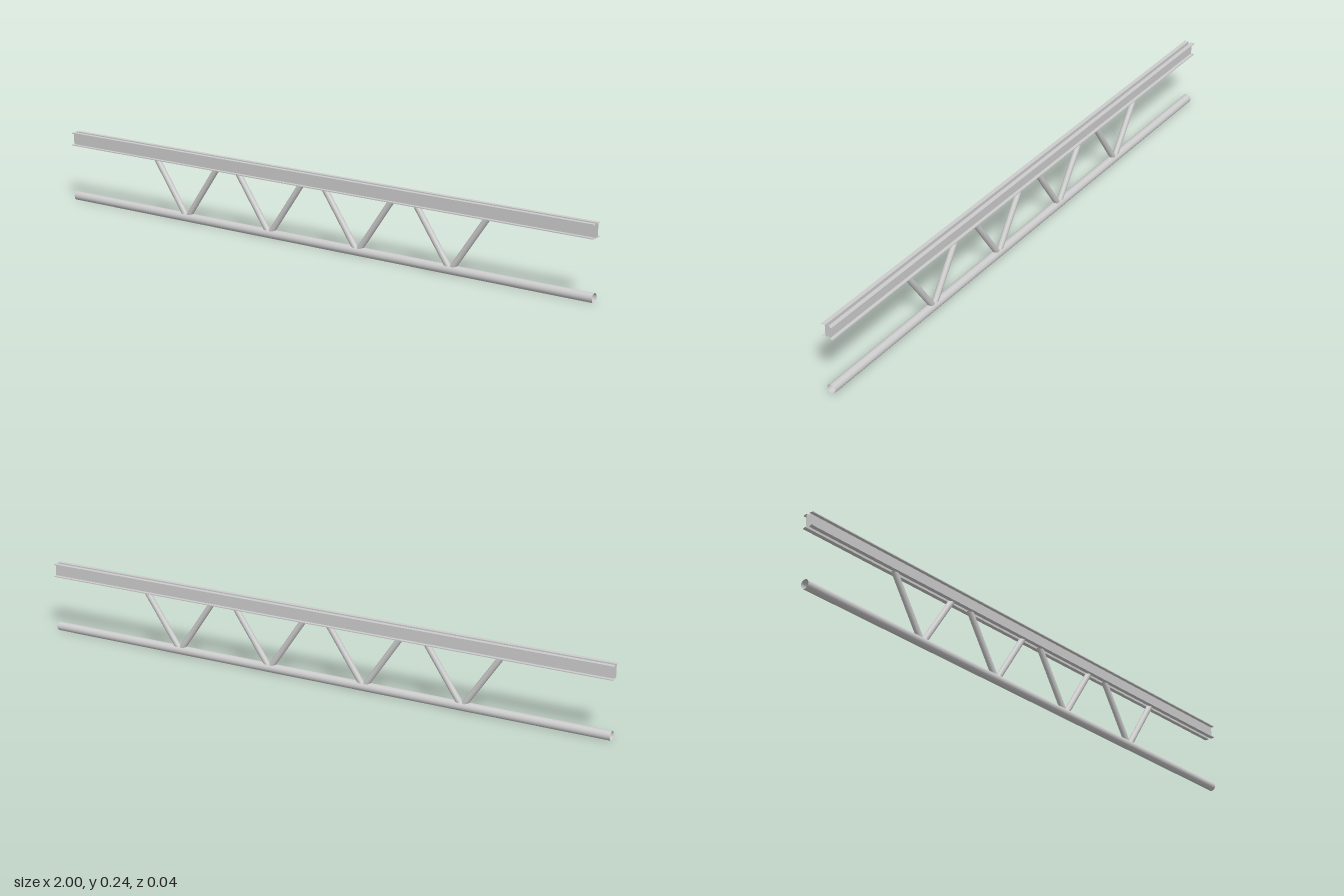
import * as THREE from 'three';

const LENGTH = 2;
const TUBE_R = 0.015, STRUT_R = 0.01;
const BEAM_BOTTOM = 0.197, BEAM_TOP = 0.242;
const WEB_Z = 0.005, FLANGE_Z = 0.019, SHEET = 0.003;

const steel = new THREE.MeshStandardMaterial({ color: 0xcccccc });
const openSteel = new THREE.MeshStandardMaterial({ color: 0xcccccc, side: THREE.DoubleSide });

// Sweeps a closed [z, y] profile along x, leaving the ends open
function sweepAlongX(profile, length) {
  const h = length / 2, positions = [];
  profile.forEach(([z0, y0], i) => {
    const [z1, y1] = profile[(i + 1) % profile.length];
    positions.push(-h, y0, z0, -h, y1, z1, h, y1, z1);
    positions.push(-h, y0, z0, h, y1, z1, h, y0, z0);
  });
  const geometry = new THREE.BufferGeometry();
  geometry.setAttribute('position', new THREE.Float32BufferAttribute(positions, 3));
  geometry.computeVertexNormals();
  return geometry;
}

// Round diagonal bar from foot to head, with its head cut level
function strut(footX, footY, headX, headY) {
  const dx = headX - footX, dy = headY - footY;
  const length = Math.hypot(dx, dy), angle = -Math.atan2(dx, dy);
  const geometry = new THREE.CylinderGeometry(STRUT_R, STRUT_R, length, 20);
  const p = geometry.attributes.position;
  for (let i = 0; i < p.count; i++) {
    if (p.getY(i) > 0) p.setY(i, p.getY(i) - p.getX(i) * Math.tan(angle));
  }
  const mesh = new THREE.Mesh(geometry, steel);
  mesh.rotation.z = angle;
  mesh.position.set((footX + headX) / 2, (footY + headY) / 2, 0);
  return mesh;
}

export function createModel() {
  const truss = new THREE.Group();
  truss.name = 'truss';

  // Top chord: two thin channels back to back with a narrow gap
  const topChord = new THREE.Group();
  topChord.name = 'topChord';
  const channel = sweepAlongX([
    [WEB_Z, BEAM_TOP], [FLANGE_Z, BEAM_TOP],
    [FLANGE_Z, BEAM_TOP - SHEET], [WEB_Z + SHEET, BEAM_TOP - SHEET],
    [WEB_Z + SHEET, BEAM_BOTTOM + SHEET], [FLANGE_Z, BEAM_BOTTOM + SHEET],
    [FLANGE_Z, BEAM_BOTTOM], [WEB_Z, BEAM_BOTTOM],
  ], LENGTH);
  ['frontChannel', 'backChannel'].forEach((name, i) => {
    const mesh = new THREE.Mesh(channel, openSteel);
    mesh.name = name;
    mesh.rotation.y = i * Math.PI;
    topChord.add(mesh);
  });
  truss.add(topChord);

  // Bottom chord: open round tube
  const bottomChord = new THREE.Mesh(
    new THREE.CylinderGeometry(TUBE_R, TUBE_R, LENGTH, 32, 1, true), openSteel);
  bottomChord.name = 'bottomChord';
  bottomChord.rotation.z = Math.PI / 2;
  bottomChord.position.y = TUBE_R;
  truss.add(bottomChord);

  // Four V-shaped pairs of diagonal struts
  for (const x of [-0.512, -0.171, 0.171, 0.512]) {
    const pair = new THREE.Group();
    pair.name = 'strutPair';
    for (const side of [-1, 1]) {
      const bar = strut(x + side * 0.006, 0.021, x + side * 0.126, 0.199);
      bar.name = side < 0 ? 'rightStrut' : 'leftStrut';
      pair.add(bar);
    }
    truss.add(pair);
  }

  return truss;
}
